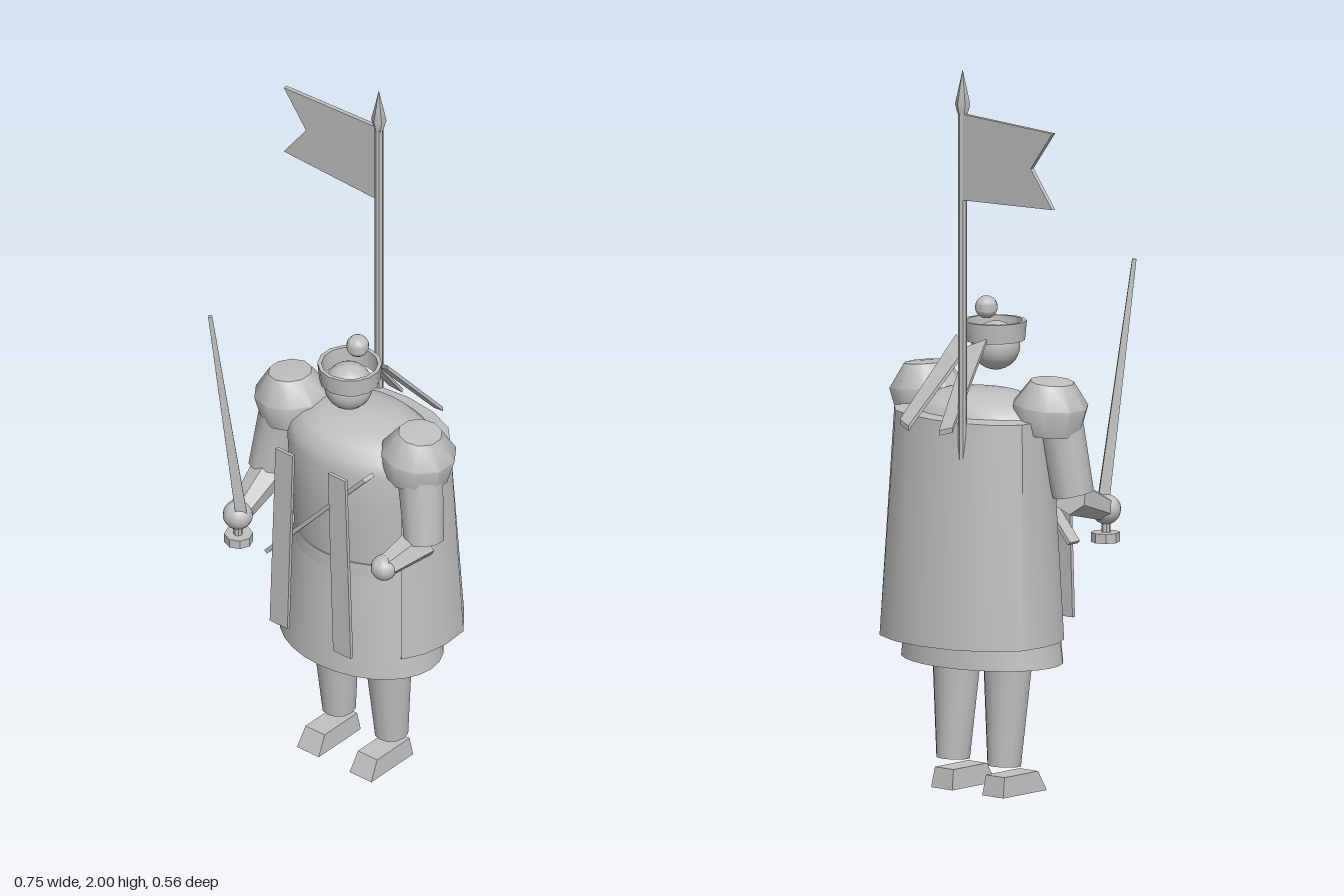
import * as THREE from 'three';
import { toCreasedNormals } from 'three/addons/utils/BufferGeometryUtils.js';

const CX = 0.045; // the figure stands slightly off centre, the banner balances it
const V = (x, y, z) => new THREE.Vector3(x, y, z);

export function createModel() {
  const model = new THREE.Group();
  const grey = new THREE.MeshStandardMaterial({ color: 0xc0c0c0 });
  grey.name = 'plain grey';
  grey.side = THREE.DoubleSide;

  function add(name, geo, pos = [0, 0, 0], crease = 0.7) {
    const mesh = new THREE.Mesh(toCreasedNormals(geo, crease), grey);
    mesh.name = name;
    mesh.position.set(...pos);
    model.add(mesh);
    return mesh;
  }

  // Tapered rod from point a to point b
  function limb(name, a, b, ra, rb, sides = 8) {
    const dir = b.clone().sub(a);
    const mesh = add(name, new THREE.CylinderGeometry(rb, ra, dir.length(), sides));
    mesh.position.copy(a).add(b).multiplyScalar(0.5);
    mesh.quaternion.setFromUnitVectors(V(0, 1, 0), dir.normalize());
    return mesh;
  }

  // Elliptical lathe around the body axis; profile rows are [radius x, y]
  function body(name, profile, depth) {
    const pts = profile.map(([r, y]) => new THREE.Vector2(r, y));
    const geo = new THREE.LatheGeometry(pts, 28).scale(1, 1, depth);
    return add(name, geo, [CX, 0, -0.03]);
  }

  // Flat bar with separate end widths, thickness along z
  function bar(name, a, b, wa, wb, thick) {
    const s = new THREE.Shape([
      new THREE.Vector2(a[0] - wa / 2, a[1]), new THREE.Vector2(a[0] + wa / 2, a[1]),
      new THREE.Vector2(b[0] + wb / 2, b[1]), new THREE.Vector2(b[0] - wb / 2, b[1])]);
    return add(name, new THREE.ExtrudeGeometry(s, { depth: thick, bevelEnabled: false }));
  }

  // Coat
  body('coatSkirt', [[0, 0.36], [0.245, 0.36], [0.208, 0.69], [0, 0.69]], 0.735);
  body('belt', [[0, 0.67], [0.207, 0.67], [0.205, 0.71], [0, 0.71]], 0.75);
  body('torso', [[0, 0.69], [0.2, 0.7], [0.215, 0.88], [0.222, 1.0], [0.212, 1.04],
    [0.175, 1.07], [0.12, 1.087], [0, 1.092]], 0.75);

  // Cape: one half outline, mirrored, lofted from hem to collar and closed
  const half = [[0.215, 0.06], [0.247, 0], [0.26, -0.07], [0.256, -0.15],
    [0.195, -0.225], [0.105, -0.266], [0, -0.28]];
  const outline = [...half, ...half.slice(0, -1).reverse().map(([x, z]) => [-x, z])];
  const verts = [], faces = [], n = outline.length;
  for (const [x, z] of outline) verts.push(x, 0.425, z);
  for (const [x, z] of outline) verts.push(x * 0.9, 1.035, (z + 0.05) * 0.76 - 0.05);
  verts.push(0, 0.425, -0.06, 0, 1.06, -0.06);
  for (let i = 0; i < n - 1; i++) {
    faces.push(i, n + i, i + 1, i + 1, n + i, n + i + 1);
    faces.push(2 * n, i, i + 1, 2 * n + 1, n + i + 1, n + i);
  }
  const cape = new THREE.BufferGeometry();
  cape.setAttribute('position', new THREE.Float32BufferAttribute(verts, 3));
  cape.setIndex(faces);
  for (let i = 0; i < faces.length; i += 3) [faces[i + 1], faces[i + 2]] = [faces[i + 2], faces[i + 1]];
  cape.setIndex(faces);
  add('cape', cape, [CX, 0, 0]);

  // Head, open headband and topknot
  add('head', new THREE.SphereGeometry(0.066, 20, 14), [CX, 1.206, 0.025]);
  const band = [[0.074, 1.222], [0.082, 1.222], [0.087, 1.275], [0.076, 1.275], [0.074, 1.222]];
  add('headband', new THREE.LatheGeometry(band.map(p => new THREE.Vector2(...p)), 14), [CX, 0, 0.02]);
  add('topknot', new THREE.SphereGeometry(0.031, 14, 10), [CX, 1.315, -0.013]);

  for (const s of [-1, 1]) {
    const x = CX + s * 0.092;

    // Legs and wedge shaped shoes
    limb('leg', V(x, 0.08, -0.044), V(x, 0.348, -0.03), 0.046, 0.066, 12);
    const shoe = new THREE.Shape([[-0.09, 0], [0.085, 0], [0.055, 0.055], [-0.08, 0.055]]
      .map(p => new THREE.Vector2(...p)));
    const shoeGeo = new THREE.ExtrudeGeometry(shoe, { depth: 0.076, bevelEnabled: false });
    shoeGeo.translate(0, 0, -0.038).rotateY(-Math.PI / 2);
    const sp = shoeGeo.attributes.position;
    for (let i = 0; i < sp.count; i++) { // narrower on top
      if (sp.getY(i) > 0.01) sp.setX(i, sp.getX(i) * 0.88);
    }
    shoeGeo.computeVertexNormals();
    add('shoe', shoeGeo, [x, 0, 0]);

    // Shoulder guards
    const guard = [[0, 1.0], [0.088, 1.0], [0.104, 1.075], [0.06, 1.138], [0, 1.142]];
    const pad = add('shoulderGuard', new THREE.LatheGeometry(
      guard.map(([r, y]) => new THREE.Vector2(r, y - 1.07)), 10), [CX + s * 0.222, 1.07, -0.003], 0.9);
    pad.rotation.z = -s * 0.09;

    // Arms
    limb('upperArm', V(CX + s * 0.235, 1.05, 0.01), V(CX + s * 0.272, 0.83, 0.034), 0.066, 0.056, 10);
    const hand = s > 0 ? V(0.27, 0.775, 0.145) : V(-0.2, 0.765, 0.195);
    limb('forearm', V(CX + s * 0.266, 0.825, 0.03), hand, 0.052, 0.032, 6);
    add('hand', new THREE.SphereGeometry(s > 0 ? 0.036 : 0.041, 14, 10), hand.toArray());

    // Hanging straps on the chest
    const strap = bar('chestStrap', [CX + s * 0.111, 0.46], [CX + s * 0.092, 1.03], 0.062, 0.06, 0.01);
    strap.position.z = 0.175;

    // Ribbon tails behind the head
    const tail = [[0, -0.095], [0.055, -0.073], [0.095, -0.255], [0.055, -0.265]];
    const tailGeo = new THREE.ExtrudeGeometry(
      new THREE.Shape(tail.map(([a, b]) => new THREE.Vector2(s * a, b))),
      { depth: 0.014, bevelEnabled: false });
    const tp = tailGeo.attributes.position;
    for (let i = 0; i < tp.count; i++) { // lay flat and slope down to the back
      const z = tp.getY(i);
      tp.setXYZ(i, tp.getX(i), 1.24 + (z + 0.075) * 1.17 - tp.getZ(i), z);
    }
    tailGeo.computeVertexNormals();
    add('ribbonTail', tailGeo, [CX, 0, 0]);
  }

  // Diagonal chest sash
  const sash = add('sash', new THREE.BoxGeometry(0.515, 0.012, 0.04), [0.052, 0.86, 0.155]);
  sash.rotation.z = Math.atan2(0.385, 0.345);

  // Sword
  limb('blade', V(-0.186, 0.77, 0.197), V(-0.23, 1.44, 0.275), 0.022, 0.008, 4);
  limb('grip', V(-0.2, 0.69, 0.195), V(-0.2, 0.77, 0.195), 0.012, 0.012);
  add('pommel', new THREE.CylinderGeometry(0.039, 0.039, 0.026, 8), [-0.2, 0.69, 0.192]);

  // Banner
  const px = -0.048, pz = -0.212;
  limb('bannerPole', V(px, 0.8, pz), V(px, 1.91, pz), 0.012, 0.012);
  const tip = [[0.011, 1.87], [0.021, 1.905], [0, 2]].map(p => new THREE.Vector2(...p));
  add('spearTip', new THREE.LatheGeometry(tip, 6), [px, 0, pz]);
  const cloth = new THREE.Shape([[-0.05, 1.645], [-0.05, 1.88], [-0.378, 1.865], [-0.3, 1.76], [-0.378, 1.657]]
    .map(p => new THREE.Vector2(...p)));
  add('flag', new THREE.ExtrudeGeometry(cloth, { depth: 0.012, bevelEnabled: false }), [0, 0, pz - 0.008]);

  return model;
}
